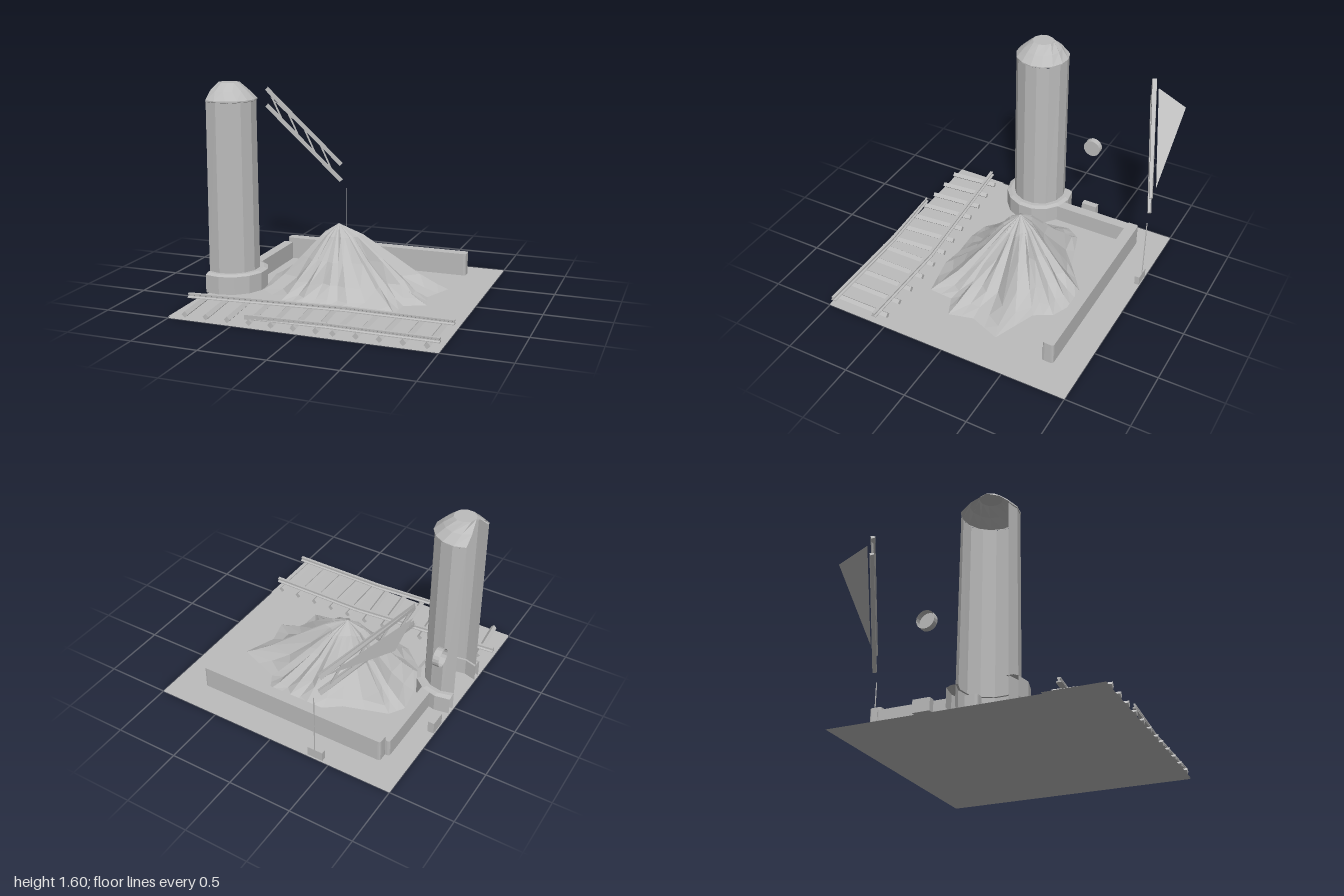
import * as THREE from 'three';

const concrete = new THREE.MeshStandardMaterial({ color: 0xbcbcbc, flatShading: true, side: THREE.DoubleSide });
concrete.name = 'concrete grey';

const clamp1 = (v) => Math.max(-1, Math.min(1, v));

export function createModel() {
  const model = new THREE.Group();
  model.name = 'gravelYard';

  function add(name, geometry, parent = model) {
    const mesh = new THREE.Mesh(geometry, concrete);
    mesh.name = name;
    parent.add(mesh);
    return mesh;
  }

  function group(name) {
    const g = new THREE.Group();
    g.name = name;
    model.add(g);
    return g;
  }

  // Skin through rows of points, each row with the same count
  function surface(rows) {
    const n = rows[0].length;
    const index = [];
    for (let i = 0; i < rows.length - 1; i++) {
      for (let j = 0; j < n - 1; j++) {
        const a = i * n + j, b = a + 1, c = a + n, d = c + 1;
        index.push(a, c, b, b, c, d);
      }
    }
    const g = new THREE.BufferGeometry();
    g.setAttribute('position', new THREE.Float32BufferAttribute(rows.flat(2), 3));
    g.setIndex(index);
    const flat = g.toNonIndexed();
    flat.computeVertexNormals();
    return flat;
  }

  // Extrudes a cross-section between two points, trimmed at the tile edges
  function bar(shape, from, to, roll = 0) {
    const a = new THREE.Vector3(...from), b = new THREE.Vector3(...to);
    const g = new THREE.ExtrudeGeometry(shape, { depth: a.distanceTo(b), bevelEnabled: false });
    const o = new THREE.Object3D();
    o.position.copy(a);
    o.lookAt(b);
    o.rotateZ(roll);
    o.updateMatrix();
    g.applyMatrix4(o.matrix);
    const p = g.attributes.position;
    for (let i = 0; i < p.count; i++) p.setXYZ(i, clamp1(p.getX(i)), p.getY(i), clamp1(p.getZ(i)));
    g.computeVertexNormals();
    return g;
  }

  const polygon = (points) => new THREE.Shape(points.map(([x, y]) => new THREE.Vector2(x, y)));
  const rect = (w, h) => polygon([[-w / 2, -h / 2], [w / 2, -h / 2], [w / 2, h / 2], [-w / 2, h / 2]]);

  function box(name, x0, x1, y0, y1, z0, z1, parent) {
    const g = new THREE.BoxGeometry(x1 - x0, y1 - y0, z1 - z0);
    g.translate((x0 + x1) / 2, (y0 + y1) / 2, (z0 + z1) / 2);
    return add(name, g, parent);
  }

  // Ground and track bed
  add('ground', surface([[[-1, 0, -1], [1, 0, -1]], [[-1, 0, 1], [1, 0, 1]]]));
  const bedY = 0.012;
  add('trackBed', surface([
    [[-1, bedY, 0.57], [0.2, bedY, 0.465], [1, bedY, 0.47]],
    [[-1, bedY, 1], [0.2, bedY, 1], [1, bedY, 1]],
  ]));

  // Track: sleepers turned on edge, two bent rails
  const track = group('track');
  const tie = rect(0.034, 0.034);
  for (let i = 0; i < 12; i++) {
    const x = -0.9 + i * 0.1655;
    const bent = x < 0.2;
    const z = bent ? 0.52 + (0.09 - x) * 0.0875 : 0.52;
    const lean = bent ? 0.0875 * (1 - z) : 0;
    add('sleeper', bar(tie, [x, 0.041, z], [x + lean, 0.041, 1], Math.PI / 4), track);
  }
  const railShape = polygon([
    [-0.02, 0], [0.02, 0], [0.02, 0.006], [0.006, 0.012], [0.006, 0.02], [0.012, 0.023],
    [0.012, 0.034], [-0.012, 0.034], [-0.012, 0.023], [-0.006, 0.02], [-0.006, 0.012], [-0.02, 0.006],
  ]);
  const railY = 0.061;
  for (const [start, bend] of [[[-1, railY, 0.692], [0.2, railY, 0.588]], [[-0.4, railY, 1], [0.2, railY, 0.957]]]) {
    add('rail', bar(railShape, start, bend), track);
    add('rail', bar(railShape, bend, [1, railY, bend[2] + 0.006]), track);
  }

  // Gravel heap: spokes from an uneven outline to the peak, with gullies
  const outline = [
    [0.14, -0.635], [0.30, -0.565], [0.375, -0.43], [0.715, -0.295], [0.62, -0.05], [0.67, 0.14],
    [0.51, 0.21], [0.50, 0.40], [0.175, 0.465], [-0.01, 0.44], [-0.215, 0.45], [-0.38, 0.415],
    [-0.62, 0.20], [-0.695, -0.21], [-0.62, -0.33], [-0.28, -0.44], [-0.04, -0.625],
  ];
  let seed = 7;
  const random = () => (seed = (seed * 16807) % 2147483647) / 2147483647;
  const spokes = [];
  outline.forEach(([x, z], i) => {
    const [nx, nz] = outline[(i + 1) % outline.length];
    spokes.push([x, z], [(x + nx) / 2, (z + nz) / 2]);
  });
  const peak = [-0.1, -0.07];
  const levels = [[1, 0.017, 0], [0.87, 0.055, 0.05], [0.69, 0.135, 0.1], [0.45, 0.28, 0.14], [0.2, 0.44, 0.12], [0, 0.525, 0]];
  const heapRows = levels.map(([f, y, rough]) => {
    const row = spokes.map(([x, z], i) => {
      const k = f * (1 + rough * ((i % 2 ? -0.5 : 0.5) + (random() - 0.5) * 1.2));
      return [peak[0] + (x - peak[0]) * k, y, peak[1] + (z - peak[1]) * k];
    });
    return [...row, row[0]];
  });
  add('gravelHeap', surface(heapRows));

  // Silo: hollow shells cut open at the tile edge
  const silo = group('silo');
  const cx = -0.895, cz = 0.163;
  function shell(name, profile, sides) {
    const rows = profile.map(([r, y]) => {
      const half = r > 1 + cx ? Math.acos((-1 - cx) / r) : Math.PI;
      return Array.from({ length: sides + 1 }, (_, j) => {
        const t = half * (2 * j / sides - 1);
        return [cx + r * Math.cos(t), y, cz + r * Math.sin(t)];
      });
    });
    add(name, surface(rows), silo);
  }
  shell('siloBase', [[0.276, 0.017], [0.276, 0.155], [0.245, 0.168], [0.2, 0.168]], 9);
  shell('siloBody', [[0.216, 0.017], [0.208, 1.47]], 9);
  shell('siloRoof', [[0.206, 1.468], [0.212, 1.472], [0.212, 1.482], [0.15, 1.545], [0.083, 1.603], [0, 1.603]], 10);

  // Retaining walls with rounded corners
  function wall(name, x0, x1, z0, z1, top) {
    const r = 0.02, s = new THREE.Shape();
    s.moveTo(x0 + r, -z1);
    s.lineTo(x1 - r, -z1);
    s.quadraticCurveTo(x1, -z1, x1, -z1 + r);
    s.lineTo(x1, -z0 - r);
    s.quadraticCurveTo(x1, -z0, x1 - r, -z0);
    s.lineTo(x0 + r, -z0);
    s.quadraticCurveTo(x0, -z0, x0, -z0 - r);
    s.lineTo(x0, -z1 + r);
    s.quadraticCurveTo(x0, -z1, x0 + r, -z1);
    const g = new THREE.ExtrudeGeometry(s, { depth: top - 0.015, bevelEnabled: false, curveSegments: 3 });
    g.rotateX(-Math.PI / 2);
    g.translate(0, 0.015, 0);
    add(name, g);
  }
  wall('backWall', -0.8, 0.75, -0.785, -0.695, 0.193);
  wall('sideWall', -0.835, -0.755, -0.71, 0.055, 0.155);

  // Drum and its footing beside the silo
  const drum = group('drum');
  const rim = add('drumRim', new THREE.CylinderGeometry(0.07, 0.07, 0.05, 18, 1, true), drum);
  rim.rotation.z = Math.PI / 2;
  rim.position.set(-0.975, 0.69, -0.27);
  const face = add('drumFace', new THREE.CircleGeometry(0.07, 18), drum);
  face.rotation.y = Math.PI / 2;
  face.position.set(-0.95, 0.69, -0.27);
  box('drumFooting', -1, -0.95, 0.015, 0.11, -0.34, -0.21, drum);

  // Sloping conveyor: upper and lower chords, struts and belt
  const conveyor = group('conveyor');
  const along = (x, drop) => [x, 0.785 + (-0.42 - x) * 1.15 - drop, -1 + (-0.42 - x) * 0.465];
  const chord = rect(0.035, 0.036);
  for (const drop of [0, 0.14]) add('chord', bar(chord, along(-0.43, drop), along(-1, drop)), conveyor);
  const strut = rect(0.014, 0.014);
  for (let i = 0; i < 4; i++) {
    const x = -0.5 - i * 0.125;
    add('strut', bar(strut, along(x, 0.14), along(x - 0.1, 0)), conveyor);
  }
  add('belt', surface([
    [[-1, 1.28, -1], [-0.5, 0.85, -1]],
    [[-1, 1.385, -0.77], [-0.5, 0.85, -1]],
  ]), conveyor);

  // Conveyor leg and foot at the back edge
  box('leg', -0.388, -0.382, 0.08, 0.59, -1, -0.994);
  box('legFoot', -0.45, -0.325, 0.015, 0.09, -1, -0.962);

  return model;
}
